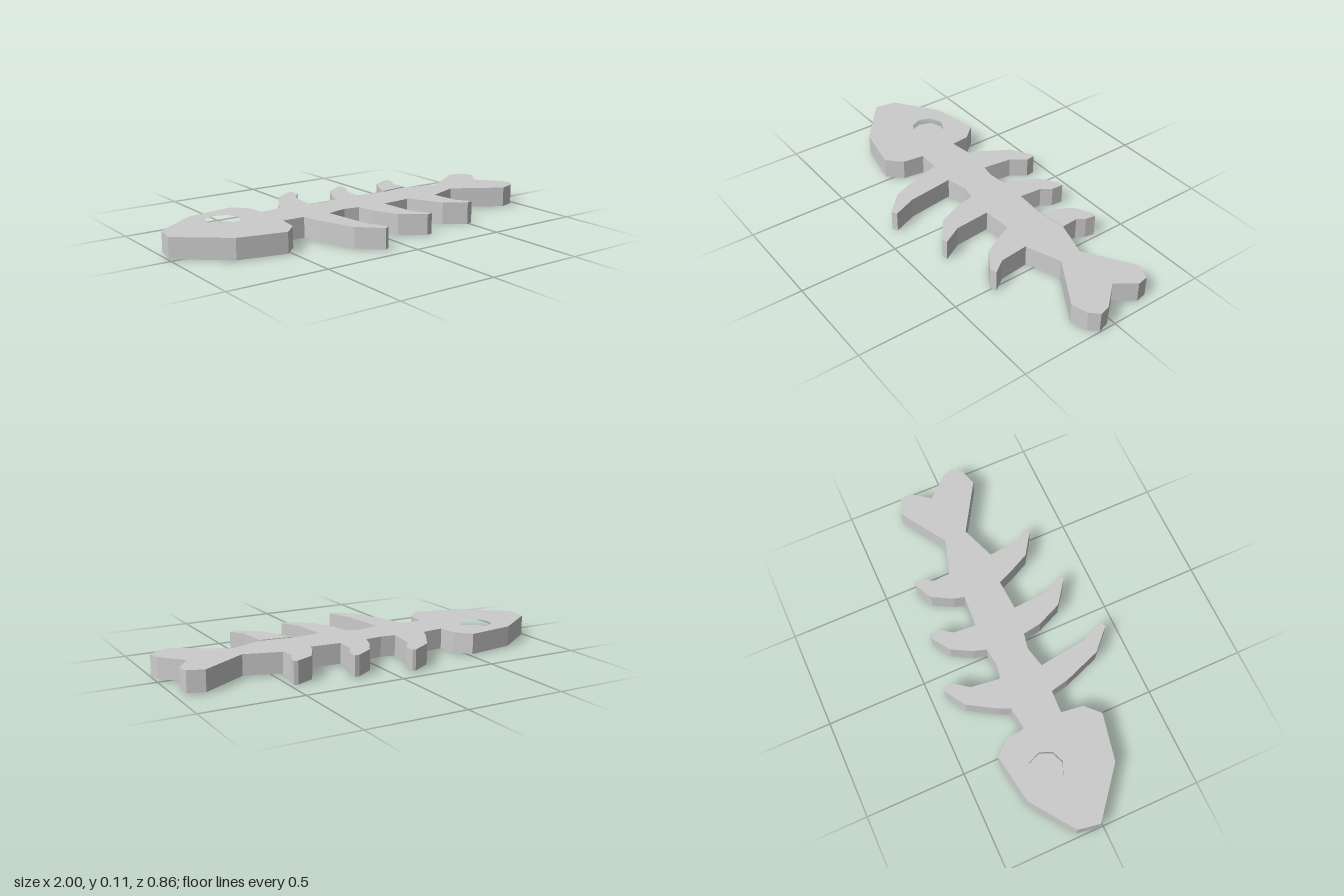
import * as THREE from 'three';

const BOTTOM = 0.005, TOP = 0.108;
const material = new THREE.MeshStandardMaterial({ color: 0xcccccc, flatShading: true });

// Flat plate from an outline of [x, z] points, standing between two heights
function plate(name, points, hole, y0 = BOTTOM, y1 = TOP) {
  const toVectors = (list) => list.map(([x, z]) => new THREE.Vector2(x, -z));
  const shape = new THREE.Shape(toVectors(points));
  if (hole) shape.holes.push(new THREE.Path(toVectors(hole)));
  const geometry = new THREE.ExtrudeGeometry(shape, { depth: y1 - y0, bevelEnabled: false });
  geometry.rotateX(-Math.PI / 2).translate(0, y0, 0);
  const mesh = new THREE.Mesh(geometry, material);
  mesh.name = name;
  return mesh;
}

export function createModel() {
  const model = new THREE.Group();
  model.name = 'fishSkeleton';

  // Octagonal eye socket, sunk into the upper face only
  const eye = [];
  for (let i = 0; i < 8; i++) {
    const a = (i * Math.PI) / 4;
    eye.push([-0.66 + 0.085 * Math.cos(a), -0.14 + 0.085 * Math.sin(a)]);
  }
  model.add(plate('head', [
    [-1, -0.02], [-0.98, -0.13], [-0.765, -0.285], [-0.515, -0.325], [-0.45, -0.25], [-0.44, -0.155],
    [-0.44, 0.04], [-0.455, 0.15], [-0.525, 0.22], [-0.765, 0.17],
  ], eye));
  model.add(plate('eyeSocketFloor', eye, null, BOTTOM, TOP - 0.03));

  // Spine, with corners where the ribs join it
  model.add(plate('spine', [
    [-0.44, -0.155], [-0.325, -0.17], [-0.165, -0.155], [-0.09, -0.145], [0, -0.155], [0.14, -0.155],
    [0.3, -0.145], [0.45, -0.165], [0.63, -0.11], [0.635, 0.005], [0.46, 0.07], [0.3, 0.05],
    [0.145, 0.06], [0, 0.045], [-0.08, 0.03], [-0.185, 0.055], [-0.325, 0.045], [-0.44, 0.04],
  ]));

  // Ribs swept toward the tail; the last pair is slightly thicker
  const backRibs = [
    [[-0.325, -0.17], [-0.3, -0.225], [-0.215, -0.365], [-0.11, -0.43], [-0.095, -0.425],
      [-0.09, -0.38], [-0.145, -0.305], [-0.165, -0.155]],
    [[0, -0.155], [0.02, -0.22], [0.075, -0.32], [0.165, -0.38], [0.19, -0.38],
      [0.185, -0.32], [0.15, -0.27], [0.14, -0.155]],
    [[0.3, -0.145], [0.315, -0.2], [0.37, -0.3], [0.46, -0.345], [0.48, -0.34],
      [0.47, -0.29], [0.445, -0.25], [0.45, -0.165]],
  ];
  const frontRibs = [
    [[-0.325, 0.045], [-0.305, 0.14], [-0.235, 0.33], [-0.13, 0.43], [-0.105, 0.415],
      [-0.155, 0.295], [-0.185, 0.055]],
    [[0, 0.045], [0.015, 0.14], [0.07, 0.265], [0.185, 0.35], [0.215, 0.345],
      [0.16, 0.245], [0.145, 0.06]],
    [[0.3, 0.05], [0.33, 0.12], [0.385, 0.23], [0.49, 0.3], [0.525, 0.29],
      [0.475, 0.22], [0.46, 0.07]],
  ];
  for (let i = 0; i < 3; i++) {
    const heights = i === 2 ? [0, 0.112] : [BOTTOM, TOP];
    model.add(plate(`backRib${i + 1}`, backRibs[i], null, ...heights));
    model.add(plate(`frontRib${i + 1}`, frontRibs[i], null, ...heights));
  }

  // Forked tail fin
  model.add(plate('tailFin', [
    [0.63, -0.11], [0.865, -0.26], [0.945, -0.23], [0.955, -0.175], [0.885, -0.08], [0.985, 0.035],
    [1, 0.09], [0.96, 0.13], [0.88, 0.155], [0.635, 0.005],
  ]));
  return model;
}
